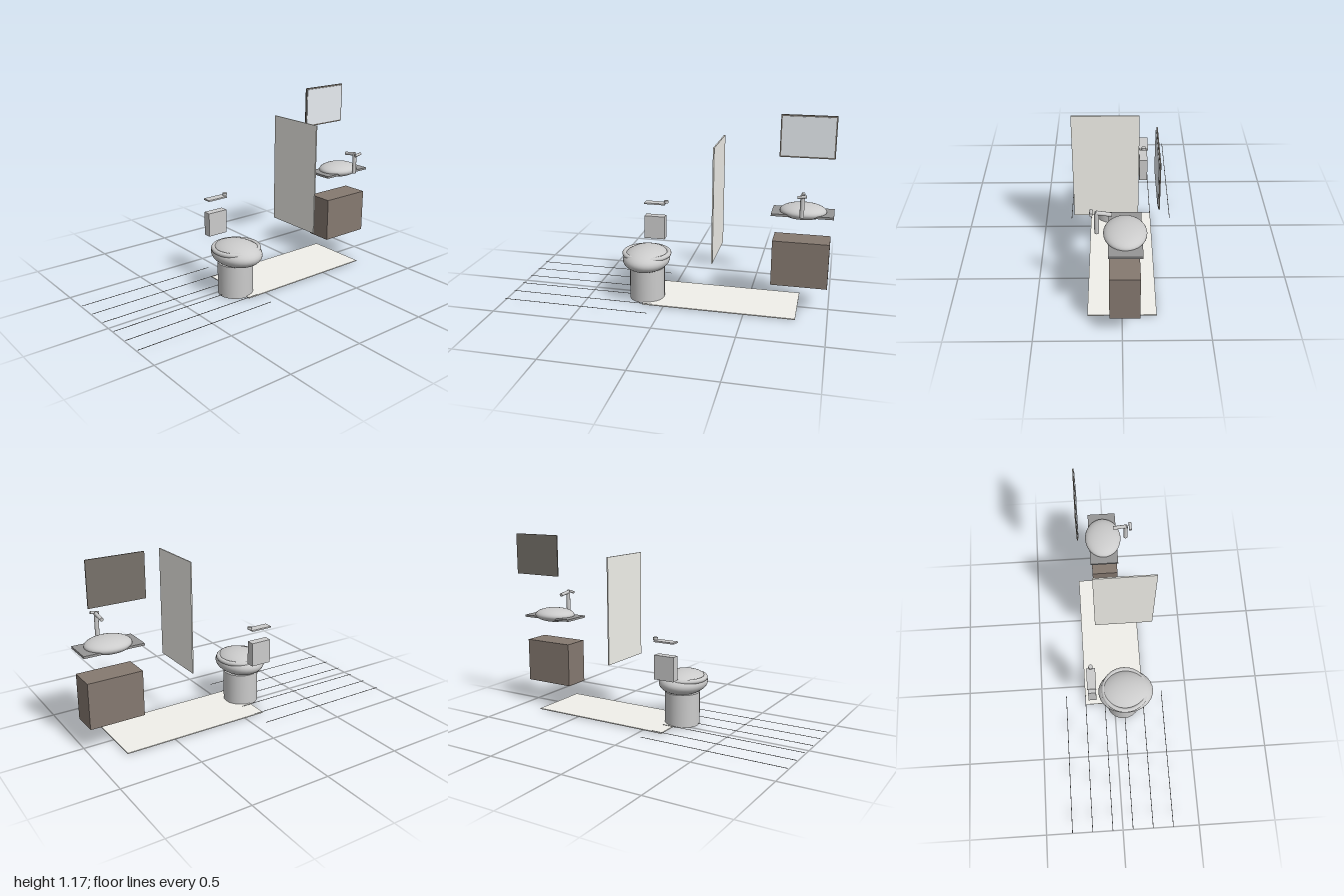
import * as THREE from 'three';

const mat = (color) => new THREE.MeshStandardMaterial({ color });
const grey = mat(0xcccccc);
const pale = mat(0xf1f0ea);
const wood = mat(0x857970);
const frameWood = mat(0x77726a);
const stone = mat(0x959595);
const glass = mat(0xe6ebf0);

export function createModel() {
  const root = new THREE.Group();

  const add = (name, geometry, material, x, y, z, parent = root) => {
    const mesh = new THREE.Mesh(geometry, material);
    mesh.name = name;
    mesh.position.set(x, y, z);
    parent.add(mesh);
    return mesh;
  };
  // Box given by its min and max on each axis
  const box = (name, material, [x0, x1], [y0, y1], [z0, z1], parent) =>
    add(name, new THREE.BoxGeometry(x1 - x0, y1 - y0, z1 - z0), material,
      (x0 + x1) / 2, (y0 + y1) / 2, (z0 + z1) / 2, parent);
  const ellipsoid = (rx, ry, rz) => new THREE.SphereGeometry(1, 32, 20).scale(rx, ry, rz);
  const group = (name) => {
    const g = new THREE.Group();
    g.name = name;
    root.add(g);
    return g;
  };

  // Floor slab and the thin tile joints beside it
  box('floor', pale, [-0.135, 0.813], [0.002, 0.008], [-0.2, 0.2]);
  const joints = group('floorJoints');
  for (let i = 0; i < 6; i++) {
    const z = -0.33 + i * 0.132;
    box('floorJoint', stone, [-1, -0.07], [0.009, 0.011], [z - 0.002, z + 0.002], joints);
  }

  // Toilet: pedestal, rounded bowl and ring seat
  const toilet = group('toilet');
  add('pedestal', new THREE.CylinderGeometry(0.111, 0.111, 0.21, 24), grey, -0.136, 0.105, 0.06, toilet);
  add('bowl', ellipsoid(0.147, 0.077, 0.181), grey, -0.136, 0.27, 0.074, toilet);
  add('seat', new THREE.TorusGeometry(0.14, 0.015, 12, 40).rotateX(Math.PI / 2), grey,
    -0.136, 0.302, 0.068, toilet);

  // Cistern with floating lid and flush button
  const cistern = group('cistern');
  box('tank', grey, [-0.202, -0.068], [0.33, 0.482], [-0.172, -0.121], cistern);
  box('tankLid', grey, [-0.203, -0.066], [0.562, 0.571], [-0.174, -0.118], cistern);
  add('flushButton', new THREE.CylinderGeometry(0.014, 0.014, 0.016, 16), grey, -0.062, 0.579, -0.146, cistern);

  // Shower screen
  box('showerScreen', pale, [0.313, 0.321], [0.351, 1.044], [-0.102, 0.282]);

  // Vanity: cabinet, counter and basin
  const vanity = group('vanity');
  box('cabinet', wood, [0.646, 0.987], [0.161, 0.445], [-0.097, 0.071], vanity);
  box('counter', stone, [0.632, 1.0], [0.603, 0.617], [-0.107, 0.074], vanity);
  add('basin', ellipsoid(0.14, 0.046, 0.117), grey, 0.816, 0.622, -0.016, vanity);

  // Tap: post, sloping spout and cross handle
  const tap = group('tap');
  add('tapPost', new THREE.CylinderGeometry(0.013, 0.013, 0.134, 16), grey, 0.816, 0.691, 0.134, tap);
  const spout = add('tapSpout', new THREE.CylinderGeometry(0.0115, 0.0115, 0.084, 16).rotateX(Math.PI / 2),
    grey, 0.816, 0.751, 0.096, tap);
  spout.rotation.x = -0.16;
  const handle = add('tapHandle', new THREE.CylinderGeometry(0.009, 0.009, 0.052, 12).rotateZ(Math.PI / 2),
    grey, 0.815, 0.756, 0.162, tap);
  handle.rotation.z = 0.16;

  // Wall mirror on its backing frame
  const mirror = group('mirror');
  box('mirrorFrame', frameWood, [0.648, 0.985], [0.909, 1.172], [-0.181, -0.174], mirror);
  box('mirrorGlass', glass, [0.657, 0.976], [0.919, 1.162], [-0.174, -0.17], mirror);

  return root;
}
